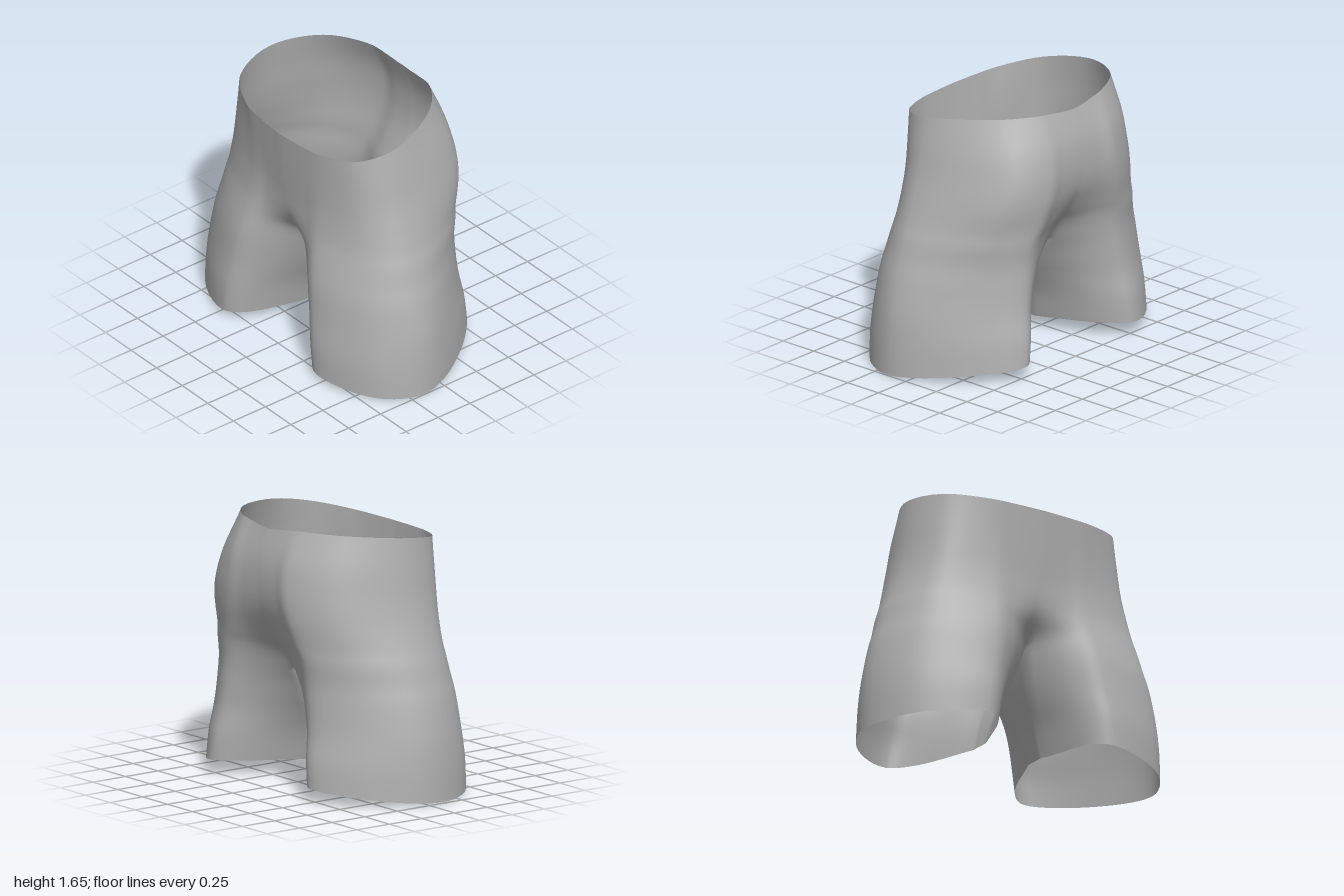
import * as THREE from 'three';
import { mergeVertices } from 'three/addons/utils/BufferGeometryUtils.js';

// Half cross-sections from hem to waist:
// [y, inner x, inner z front, inner z back, bulge, outer x, front crest x, z, back crest x, z]
const ROWS = [
  [0.00, 0.20, 0.13, -0.01, 0.95, 1.00, 0.46, 0.57, 0.50, -0.54],
  [0.20, 0.15, 0.15, -0.04, 0.85, 0.995, 0.44, 0.57, 0.48, -0.53],
  [0.40, 0.08, 0.19, -0.10, 0.7, 0.978, 0.41, 0.55, 0.46, -0.50],
  [0.60, 0.025, 0.24, -0.20, 0.6, 0.938, 0.38, 0.53, 0.44, -0.49],
  [0.73, 0, 0.28, -0.28, 0.55, 0.897, 0.36, 0.505, 0.43, -0.49],
  [0.85, 0, 0.385, -0.36, 0.4, 0.862, 0.35, 0.475, 0.42, -0.505],
  [0.95, 0, 0.43, -0.44, 0.1, 0.825, 0.34, 0.455, 0.38, -0.525],
  [1.10, 0, 0.45, -0.52, -0.2, 0.778, 0.34, 0.44, 0.34, -0.555],
  [1.25, 0, 0.465, -0.55, -0.4, 0.74, 0.34, 0.44, 0.30, -0.565],
  [1.42, 0, 0.48, -0.54, -0.5, 0.71, 0.35, 0.445, 0.29, -0.535],
  [1.60, 0, 0.495, -0.485, -0.5, 0.677, 0.36, 0.455, 0.30, -0.445],
];
const CROTCH = 4;   // row where the two legs meet
const STEPS = 4;    // rings per row
const OUTER = 48;   // columns around the outside
const INNER = 6;    // columns along the inner thigh

const { lerp, clamp } = THREE.MathUtils;

// Smooth interpolation between neighbouring rows
function rowAt(t) {
  const i = Math.min(Math.floor(t), ROWS.length - 2), f = t - i;
  const at = (k) => ROWS[clamp(k, 0, ROWS.length - 1)];
  return ROWS[i].map((p1, c) => {
    const p0 = at(i - 1)[c], p2 = at(i + 1)[c], p3 = at(i + 2)[c];
    return p1 + 0.5 * f * (p2 - p0 + f * (2 * p0 - 5 * p1 + 4 * p2 - p3 + f * (3 * (p1 - p2) + p3 - p0)));
  });
}

// One closed ring of a half: around the outside, then back along the inside.
// The two sides (1 left, -1 right) are slightly uneven, as in a relaxed stance.
function ring(t, side) {
  const [y, sx, sf, sb, bulge, width, xf, zf, xb, zb] = rowAt(t);
  const hem = clamp(1 - y / 0.5, 0, 1), waist = clamp((y - 1.1) / 0.5, 0, 1);
  const hip = Math.exp(-(((y - 1.2) / 0.35) ** 2));   // fuller around the hips
  const x0 = t >= CROTCH ? 0 : Math.max(0, sx);
  const xo = width - 0.016 * side * waist, zo = 0.07 + 0.06 * side;
  const inner = (x, z, s, b) => [lerp(x0, x, 0.54), lerp(s, z, 0.5 + 0.35 * b)];
  const section = [
    [x0, sf], inner(xf, zf, sf, bulge), [xf, zf],
    [lerp(xf, xo, 0.74), lerp(zo, zf, 0.66 + hip * (0.02 - 0.05 * side))], [xo, zo],
    [lerp(xb, xo, 0.61 - 0.03 * side), lerp(zo, zb, 0.65 + hip * (0.12 + 0.06 * side))],
    [xb, zb], inner(xb, zb, sb, bulge * 0.85), [x0, sb],
  ].map(([x, z]) => new THREE.Vector3(x, 0, z));
  const points = new THREE.CatmullRomCurve3(section, false, 'centripetal').getPoints(OUTER);
  for (let k = 1; k < INNER; k++) points.push(new THREE.Vector3(x0, 0, lerp(sb, sf, k / INNER)));

  // Slanted hem and waist edges
  for (const p of points) {
    p.x = Math.max(p.x, 0);
    const hemRise = 0.075 * (1 - p.x) + 0.07 * Math.max(0, 0.2 - p.z);
    const backDip = p.z < 0 ? 0.03 * Math.exp(-((p.x / 0.2) ** 2)) * clamp(-p.z / 0.3, 0, 1) : 0;
    p.y = y + hem * hemRise + waist * (0.02 - 0.12 * p.z - 0.1 * p.z * p.z - backDip);
  }
  return points;
}

function shortsGeometry() {
  const positions = [], index = [];
  const ringCount = (ROWS.length - 1) * STEPS + 1;
  for (const side of [1, -1]) {
    const base = positions.length / 3, n = OUTER + INNER;
    for (let v = 0; v < ringCount; v++) {
      for (const p of ring(v / STEPS, side)) positions.push(side * p.x, p.y, p.z);
    }
    for (let v = 0; v < ringCount - 1; v++) {
      // Above the crotch the inside stays open
      const columns = v < CROTCH * STEPS ? n : OUTER;
      for (let u = 0; u < columns; u++) {
        const a = base + v * n + u, b = base + v * n + (u + 1) % n;
        const c = b + n, d = a + n;
        if (side === 1) index.push(a, b, c, a, c, d);
        else index.push(a, c, b, a, d, c);
      }
    }
  }
  const geometry = new THREE.BufferGeometry();
  geometry.setAttribute('position', new THREE.Float32BufferAttribute(positions, 3));
  geometry.setIndex(index);
  // Join the halves along the centre seam for smooth shading
  const joined = mergeVertices(geometry, 1e-5);
  joined.computeVertexNormals();
  return joined;
}

export function createModel() {
  const group = new THREE.Group();
  group.name = 'shorts';
  const fabric = new THREE.MeshStandardMaterial({ color: 0xb0b0b0, side: THREE.DoubleSide });
  fabric.name = 'grey fabric';
  const shorts = new THREE.Mesh(shortsGeometry(), fabric);
  shorts.name = 'shortsFabric';
  group.add(shorts);
  return group;
}
